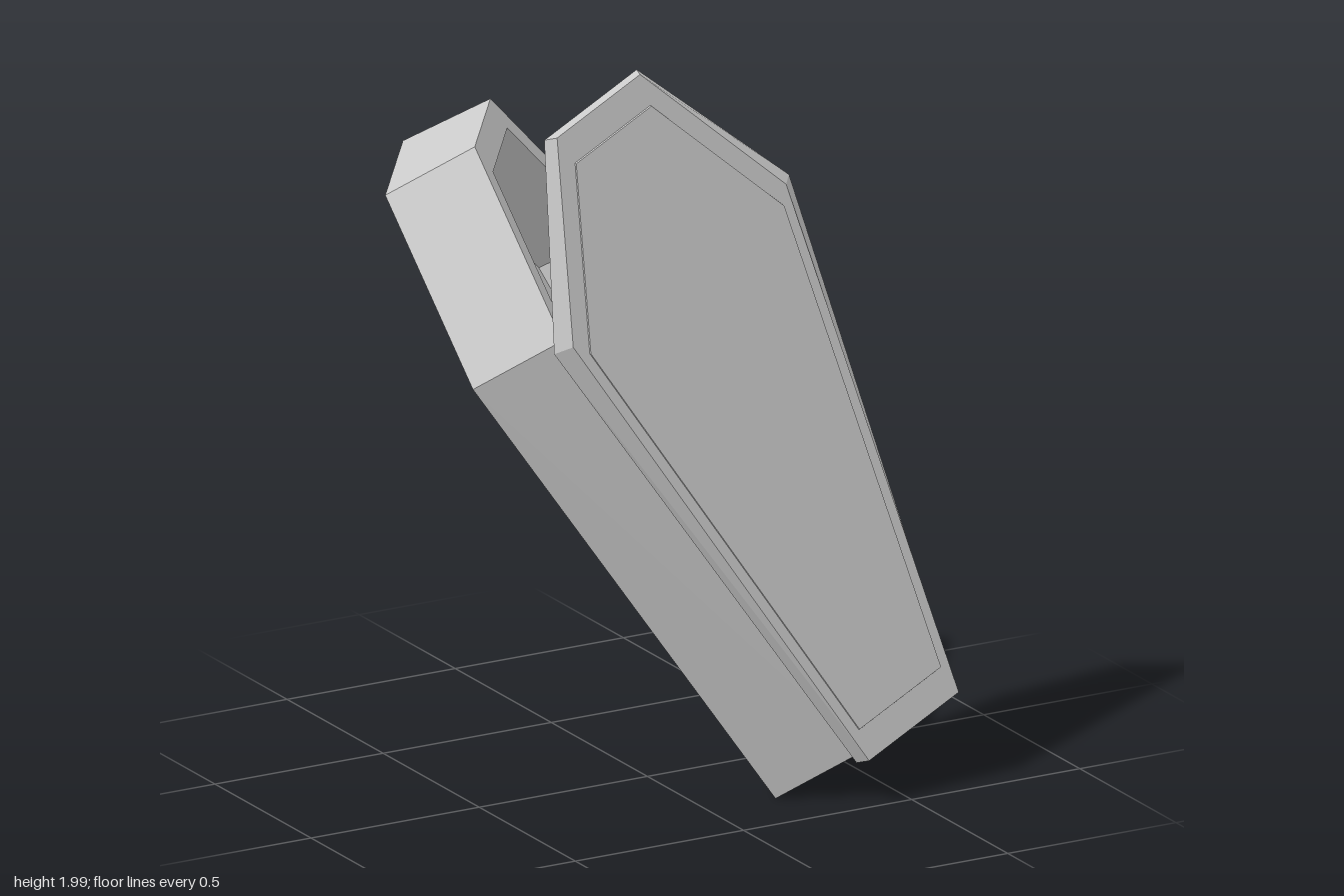
import * as THREE from 'three';

const LENGTH = 1.936, SHOULDER = 1.438, MID = LENGTH / 2;

// Six-sided coffin outline at height z: half widths at foot, shoulder and head;
// inset scales the outline towards its centre.
function outline(z, foot, shoulder, head, inset = 1) {
  return [
    [-foot, 0], [foot, 0], [shoulder, SHOULDER],
    [head, LENGTH], [-head, LENGTH], [-shoulder, SHOULDER],
  ].map(([x, y]) => new THREE.Vector3(x * inset, MID + (y - MID) * inset, z));
}

// Skin a run of outlines and close both ends
function loft(name, rings, material) {
  const pos = [];
  const tri = (...corners) => corners.forEach((p) => pos.push(p.x, p.y, p.z));
  for (let r = 0; r + 1 < rings.length; r++) {
    const a = rings[r], b = rings[r + 1];
    for (let i = 0; i < 6; i++) {
      const j = (i + 1) % 6;
      tri(a[i], a[j], b[j]);
      tri(a[i], b[j], b[i]);
    }
  }
  const first = rings[0], last = rings[rings.length - 1];
  for (let i = 1; i < 5; i++) {
    tri(first[0], first[i + 1], first[i]);
    tri(last[0], last[i], last[i + 1]);
  }
  const geometry = new THREE.BufferGeometry();
  geometry.setAttribute('position', new THREE.Float32BufferAttribute(pos, 3));
  geometry.computeVertexNormals();
  const mesh = new THREE.Mesh(geometry, material);
  mesh.name = name;
  return mesh;
}

// Lean a part: foot-end centre, width direction and foot-to-head direction
function place(mesh, origin, width, up) {
  const u = new THREE.Vector3(...up).normalize();
  const n = new THREE.Vector3(...width).cross(u).normalize();
  const w = u.clone().cross(n);
  mesh.quaternion.setFromRotationMatrix(new THREE.Matrix4().makeBasis(w, u, n));
  mesh.position.set(...origin);
  return mesh;
}

export function createModel() {
  const group = new THREE.Group();
  group.name = 'openCoffin';
  const material = new THREE.MeshStandardMaterial({ color: 0xcccccc, flatShading: true });

  // Hollow box: back, tapered walls, rim, inner walls, floor
  const box = loft('coffinBox', [
    outline(0, 0.176, 0.419, 0.172),
    outline(0.271, 0.158, 0.398, 0.152),
    outline(0.271, 0.158, 0.398, 0.152, 0.91),
    outline(0.05, 0.173, 0.415, 0.169, 0.91),
  ], material);
  group.add(place(box, [0.305, 0.022, 0.18], [0.607, 0.095, -0.789], [-0.46, 0.854, -0.245]));

  // Leaning lid with bevelled sides and a shallow panel
  const lid = loft('lid', [
    outline(0, 0.176, 0.419, 0.165),
    outline(0.038, 0.16, 0.38, 0.148),
    outline(0.038, 0.16, 0.38, 0.148, 0.91),
    outline(0.042, 0.16, 0.38, 0.148, 0.908),
  ], material);
  group.add(place(lid, [0.52, 0.185, 0.435], [0.913, 0.387, -0.134], [-0.409, 0.903, -0.132]));

  return group;
}
